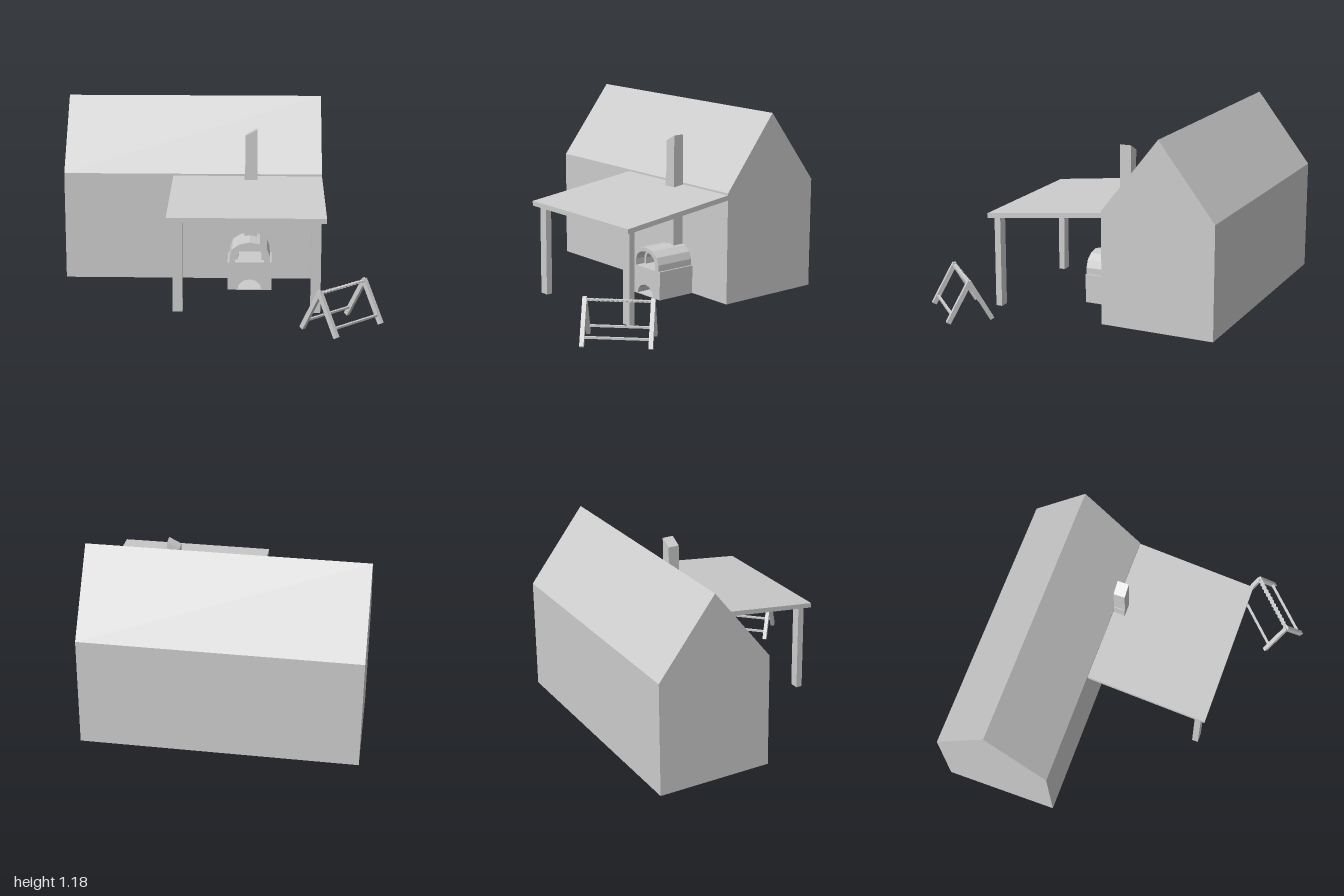
import * as THREE from 'three';

const plaster = new THREE.MeshStandardMaterial({ color: 0xcccccc });
plaster.name = 'pale grey';

function add(parent, name, geometry, x = 0, y = 0, z = 0) {
  const mesh = new THREE.Mesh(geometry, plaster);
  mesh.name = name;
  mesh.position.set(x, y, z);
  parent.add(mesh);
  return mesh;
}

// Box given by its two opposite corners
function block(parent, name, [x0, y0, z0], [x1, y1, z1]) {
  return add(parent, name, new THREE.BoxGeometry(x1 - x0, y1 - y0, z1 - z0),
    (x0 + x1) / 2, (y0 + y1) / 2, (z0 + z1) / 2);
}

const outline = (points) => new THREE.Shape(points.map(([x, y]) => new THREE.Vector2(x, y)));
const extrude = (shape, depth) => new THREE.ExtrudeGeometry(shape, { depth, bevelEnabled: false });

// Side profile of [z, y] points, extruded along x from x0 to x1
function sideProfile(parent, name, points, x0, x1) {
  const geometry = extrude(outline(points.map(([z, y]) => [-z, y])), x1 - x0);
  geometry.rotateY(Math.PI / 2);
  return add(parent, name, geometry, x0);
}

// Faceted half-arch points, from right to left
function arch(cx, y, rx, ry, sides = 6) {
  return Array.from({ length: sides + 1 }, (_, i) => {
    const a = (i / sides) * Math.PI;
    return [cx + rx * Math.cos(a), y + ry * Math.sin(a)];
  });
}

function createOven() {
  const oven = new THREE.Group();
  oven.name = 'oven';
  const cx = 0.2;
  const back = -0.22;

  // Base with an arched wood store
  const base = outline([[0.06, 0.03], ...arch(cx, 0.03, 0.077, 0.07).reverse(),
    [0.34, 0.03], [0.34, 0.21], [0.06, 0.21]]);
  add(oven, 'ovenBase', extrude(base, 0.265), 0, 0, back);
  block(oven, 'woodStoreFloor', [0.12, 0.03, back], [0.285, 0.035, 0.045]);

  // Vault, with a narrower inner mouth set back
  const vault = (rx, ry, wall) => {
    const top = (w, h) => arch(cx, 0.25, w, h);
    return outline([[cx + rx, 0.21], ...top(rx, ry), [cx - rx, 0.21],
      [cx - rx + wall, 0.21], ...top(rx - wall, ry - wall * 0.7).reverse(), [cx + rx - wall, 0.21]]);
  };
  add(oven, 'ovenVault', extrude(vault(0.128, 0.09, 0.036), 0.265), 0, 0, back);
  add(oven, 'ovenMouth', extrude(vault(0.094, 0.065, 0.02), 0.2), 0, 0, back);
  return oven;
}

function createSawhorse() {
  const horse = new THREE.Group();
  horse.name = 'sawhorse';
  const half = 0.195;
  const foot = new THREE.Vector2(0.135, 0.007);
  const apex = new THREE.Vector2(-0.004, 0.255);
  const length = foot.distanceTo(apex);

  for (const side of [-1, 1]) {
    // Two legs leaning together at each end
    for (const end of [-1, 1]) {
      const leg = add(horse, 'sawhorseLeg', new THREE.BoxGeometry(0.025, length, 0.028),
        end * half, (foot.y + apex.y) / 2, side * (foot.x + apex.x) / 2);
      leg.rotation.x = -side * Math.atan2(foot.x - apex.x, apex.y - foot.y);
    }
    // Low rail
    const rail = new THREE.BoxGeometry(half * 2, 0.012, 0.016);
    add(horse, 'sawhorseRail', rail, 0, 0.056, side * 0.11);
  }

  // Toothed top bar
  const teeth = 14;
  const edge = (sign) => Array.from({ length: teeth * 2 + 1 }, (_, i) =>
    [-half + (i / (teeth * 2)) * half * 2, sign * (i % 2 ? 0.016 : 0.009)]);
  const bar = extrude(outline([...edge(-1), ...edge(1).reverse()]), 0.01);
  bar.rotateX(-Math.PI / 2);
  add(horse, 'toothedBar', bar, 0, 0.24, 0);

  horse.position.set(0.75, 0, 0.685);
  horse.rotation.y = Math.PI / 4;
  return horse;
}

export function createModel() {
  const model = new THREE.Group();
  model.name = 'bakehouse';

  // Main house with gabled roof
  sideProfile(model, 'house',
    [[-0.22, 0.03], [-0.22, 0.725], [-0.577, 1.18], [-0.93, 0.725], [-0.93, 0.03]], -1, 0.66);

  // Lean-to canopy and its posts
  sideProfile(model, 'canopy',
    [[0.547, 0.59], [0.547, 0.62], [-0.22, 0.713], [-0.22, 0.682]], -0.295, 0.66);
  for (const x of [-0.23, 0.6]) {
    block(model, 'canopyPost', [x - 0.03, 0.03, 0.475], [x + 0.03, 0.605, 0.515]);
  }

  // Chimney with a slanted top
  const chimney = outline([[0.165, 0.325], [0.245, 0.325], [0.245, 1.03], [0.17, 0.99], [0.17, 0.79], [0.165, 0.79]]);
  add(model, 'chimney', extrude(chimney, 0.072), 0, 0, -0.217);

  model.add(createOven(), createSawhorse());
  return model;
}
